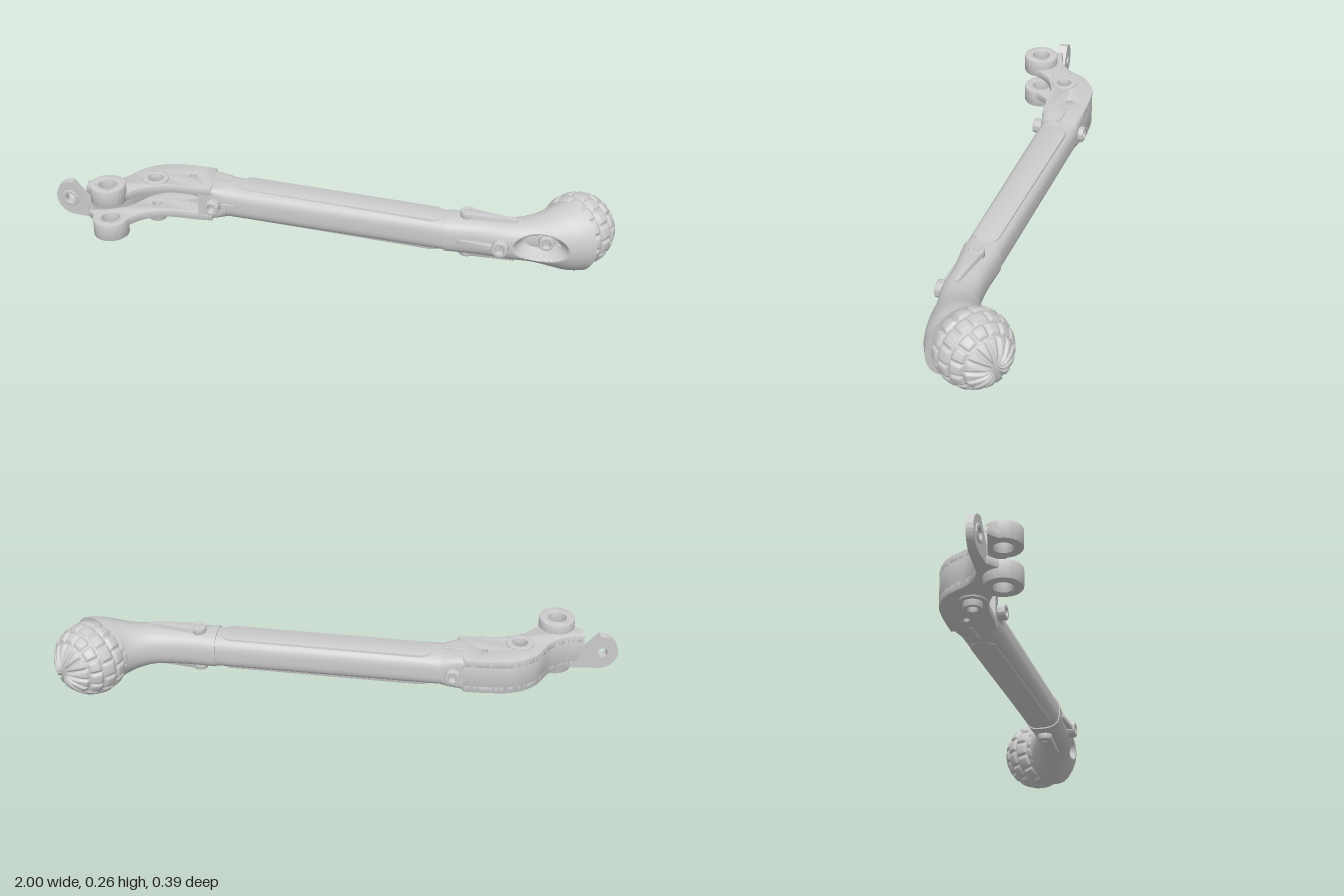
import * as THREE from 'three';
import { mergeVertices, toCreasedNormals } from 'three/addons/utils/BufferGeometryUtils.js';

const MID = 0.133; // height of the lever's centre plane

export function createModel() {
  const group = new THREE.Group();
  const mat = new THREE.MeshStandardMaterial({ color: 0xcccccc });
  const add = (name, geo) => {
    const m = new THREE.Mesh(geo, mat);
    m.name = name;
    group.add(m);
    return m;
  };

  // Upright prism from a plan shape drawn in (x, -z)
  const prism = (name, shape, y0, y1, bevel = 0.004) => {
    const geo = new THREE.ExtrudeGeometry(shape, {
      depth: y1 - y0 - 2 * bevel, curveSegments: 20, bevelSize: bevel,
      bevelThickness: bevel, bevelOffset: -bevel, bevelSegments: 2,
    });
    geo.rotateX(-Math.PI / 2).translate(0, y0 + bevel, 0);
    return add(name, toCreasedNormals(geo, 0.6));
  };

  // Plan outline: smooth runs of [x, z] points joined by sharp corners
  const outline = (runs, holes = []) => {
    const s = new THREE.Shape();
    s.moveTo(runs[0][0][0], -runs[0][0][1]);
    runs.forEach((run, i) => {
      if (i) s.lineTo(run[0][0], -run[0][1]);
      s.splineThru(run.slice(1).map(([x, z]) => new THREE.Vector2(x, -z)));
    });
    s.closePath();
    for (const [x, z, r] of holes) s.holes.push(new THREE.Path().absarc(x, -z, r, 0, Math.PI * 2, true));
    return s;
  };

  // Tapered slot-shaped prism between two round ends
  const slab = (name, ax, az, ra, bx, bz, rb, y0, y1, bevel) => {
    const a = Math.atan2(az - bz, bx - ax);
    const s = new THREE.Shape();
    s.absarc(ax, -az, ra, a + Math.PI / 2, a + Math.PI * 1.5, false);
    s.absarc(bx, -bz, rb, a - Math.PI / 2, a + Math.PI / 2, false);
    return prism(name, s, y0, y1, bevel);
  };

  // Ring with a bore, starting at pos and growing along dir
  const ring = (name, R, r, len, pos, dir) => {
    const s = new THREE.Shape().absarc(0, 0, R, 0, Math.PI * 2, false);
    s.holes.push(new THREE.Path().absarc(0, 0, r, 0, Math.PI * 2, true));
    const b = 0.004;
    const geo = new THREE.ExtrudeGeometry(s, {
      depth: len - 2 * b, curveSegments: 28, bevelSize: b, bevelThickness: b, bevelOffset: -b, bevelSegments: 2,
    });
    geo.translate(0, 0, b);
    const m = add(name, toCreasedNormals(geo, 0.6));
    m.quaternion.setFromUnitVectors(new THREE.Vector3(0, 0, 1), new THREE.Vector3(...dir).normalize());
    m.position.set(...pos);
  };

  // Loft through stations [backX, backZ, frontX, frontZ, halfHeight, squareness]
  const loft = (stations, steps, smooth, sides = 64) => {
    const n = stations.length - 1;
    const at = (t) => {
      const i = Math.min(Math.floor(t * n), n - 1), f = t * n - i;
      return stations[0].map((_, k) => {
        const p = (j) => stations[Math.max(0, Math.min(n, j))][k];
        if (!smooth) return p(i) + (p(i + 1) - p(i)) * f;
        const m0 = (p(i + 1) - p(i - 1)) / 2, m1 = (p(i + 2) - p(i)) / 2, d = p(i + 1) - p(i);
        return p(i) + f * (m0 + f * (3 * d - 2 * m0 - m1 + f * (m0 + m1 - 2 * d)));
      });
    };
    const pos = [], idx = [];
    const rows = [[0, 0], [0, 1]];
    for (let i = 0; i <= steps; i++) rows.push([i / steps, 1]);
    rows.push([1, 1], [1, 0]);
    rows.forEach(([t, scale], i) => {
      const [ux, uz, lx, lz, h, e] = at(t);
      for (let j = 0; j < sides; j++) {
        const a = (j / sides) * Math.PI * 2;
        const pw = (v) => Math.sign(v) * Math.abs(v) ** (2 / e) * scale;
        const c = pw(Math.cos(a)), s = pw(Math.sin(a));
        pos.push((ux + lx + (lx - ux) * c) / 2, h * s, (uz + lz + (lz - uz) * c) / 2);
        if (i && i !== 2 && i !== steps + 3) {
          const k = (j + 1) % sides, q = (i - 1) * sides, w = i * sides;
          idx.push(q + j, w + j, q + k, w + j, w + k, q + k);
        }
      }
    });
    const geo = new THREE.BufferGeometry();
    geo.setAttribute('position', new THREE.Float32BufferAttribute(pos, 3));
    geo.setIndex(idx);
    return geo;
  };
  const finish = (geo) => { geo.computeVertexNormals(); return geo; };

  // Straight shaft with flat panels above and below
  add('shaft', finish(loft([
    [-0.48, -0.184, -0.48, -0.024, 0.066, 8], [-0.42, -0.172, -0.43, -0.021, 0.065, 6],
    [-0.35, -0.16, -0.38, -0.02, 0.061, 3], [0.45, 0.01, 0.42, 0.136, 0.061, 3],
  ], 30, false)));
  slab('shaftPanel', -0.29, -0.082, 0.045, 0.365, 0.06, 0.045, -0.0625, 0.0625, 0.003);

  // Neck swelling towards the knob, with a scooped hollow in front
  const neck = loft([
    [0.435, 0.002, 0.405, 0.138, 0.066, 2.8], [0.55, 0.028, 0.53, 0.15, 0.067, 2.6],
    [0.64, 0.036, 0.63, 0.17, 0.07, 2.4], [0.69, 0.025, 0.72, 0.174, 0.08, 2.2],
    [0.725, 0.01, 0.8, 0.18, 0.1, 2], [0.748, -0.006, 0.87, 0.178, 0.118, 2],
    [0.763, -0.022, 0.93, 0.163, 0.128, 2],
  ], 90, true, 96);
  const np = neck.attributes.position;
  for (let i = 0; i < np.count; i++) {
    const x = np.getX(i), y = np.getY(i), z = np.getZ(i);
    const d = ((x - 0.74) / 0.095) ** 2 + (y / 0.052) ** 2;
    if (z > 0.1 && d < 1) np.setZ(i, z - 0.06 * Math.min(1, 1.6 * (1 - d)));
  }
  add('neck', finish(neck));
  ring('hollowBoss', 0.027, 0.014, 0.03, [0.76, 0, 0.108], [0, 0, 1]);
  slab('neckFin', 0.485, 0.075, 0.024, 0.65, 0.113, 0.007, -0.085, 0.085);
  for (const s of [1, -1]) ring('finBoss', 0.027, 0.012, 0.03, [0.487, s * 0.058, 0.075], [0, s, 0]);
  ring('neckFrontBoss', 0.03, 0.014, 0.05, [0.605, 0, 0.14], [-0.15, 0, 1]);
  slab('neckFrontRidge', 0.46, 0.14, 0.008, 0.59, 0.17, 0.012, -0.008, 0.008, 0.002);

  // Round knob: wedges around the pole, then staggered rows of tiles
  const N = 14, R = 0.131;
  const knob = new THREE.SphereGeometry(R, N * 14, 90);
  knob.deleteAttribute('uv');
  knob.deleteAttribute('normal');
  const kp = knob.attributes.position, v = new THREE.Vector3();
  const bands = [0, 0.85, 1.25, 1.65, 2.05, Math.PI];
  for (let i = 0; i < kp.count; i++) {
    v.fromBufferAttribute(kp, i);
    const theta = Math.acos(Math.max(-1, Math.min(1, v.y / R)));
    const phi = Math.atan2(v.z, v.x) / (Math.PI * 2) + 1;
    const row = bands.findIndex((b) => theta < b) - 1;
    const u = (((phi * N + (row % 2 ? 0.5 : 0)) % 1) + 1) % 1;
    const across = Math.min(u, 1 - u) * (Math.PI * 2 / N) * Math.sin(theta);
    const along = Math.min(...bands.slice(1, -1).map((b) => Math.abs(theta - b)));
    const edge = THREE.MathUtils.smoothstep(Math.min(across, along), 0.015, 0.075);
    kp.setXYZ(i, ...v.multiplyScalar(1 - 0.06 * (1 - edge)).toArray());
  }
  const ball = add('knob', finish(mergeVertices(knob, 1e-5)));
  ball.quaternion.setFromUnitVectors(new THREE.Vector3(0, 1, 0), new THREE.Vector3(0.72, 0, -0.69).normalize());
  ball.position.set(0.87, 0, 0.023);

  // Channel bracket: two side plates joined by a curved back wall
  const back = [[-0.43, -0.175], [-0.52, -0.19], [-0.61, -0.192], [-0.69, -0.155], [-0.75, -0.085], [-0.81, -0.053], [-0.88, -0.046]];
  const plate = outline([
    back,
    [[-0.88, -0.01], [-0.855, 0.02], [-0.835, 0.07], [-0.79, 0.088], [-0.745, 0.07], [-0.72, 0.03], [-0.67, -0.012], [-0.59, -0.034], [-0.5, -0.026], [-0.43, -0.021]],
  ], [[-0.79, 0.03, 0.035], [-0.64, -0.08, 0.025], [-0.51, -0.115, 0.011]]);
  prism('upperPlate', plate, 0.036, 0.067);
  prism('lowerPlate', plate, -0.067, -0.036);
  prism('backWall', outline([
    back,
    [[-0.88, -0.012], [-0.82, -0.017], [-0.74, -0.05], [-0.67, -0.125], [-0.6, -0.158], [-0.52, -0.145], [-0.48, -0.1], [-0.47, -0.026]],
    [[-0.43, -0.022], [-0.43, -0.1]],
  ]), -0.06, 0.06);
  for (const s of [1, -1]) {
    ring('pivotCollar', 0.064, 0.032, 0.066, [-0.79, s * 0.036, 0.03], [0, s, 0]);
    ring('pinCollar', 0.048, 0.026, 0.037, [-0.64, s * 0.036, -0.08], [0, s, 0]);
  }
  ring('pinSleeve', 0.032, 0.018, 0.06, [-0.64, -0.036, -0.08], [0, -1, 0]);
  ring('bracketFrontBoss', 0.027, 0.013, 0.05, [-0.42, 0, -0.04], [-0.2, 0, 1]);
  ring('bracketBackBoss', 0.027, 0.013, 0.05, [-0.4, 0, -0.138], [0.2, 0, -1]);
  slab('bracketRidge', -0.45, -0.108, 0.008, -0.37, -0.09, 0.005, -0.07, 0.07, 0.002);
  slab('bracketFrontRidge', -0.42, -0.027, 0.008, -0.35, -0.015, 0.006, -0.008, 0.008, 0.002);

  // Round-ended tongue that thins towards its tip
  const t = new THREE.Shape();
  t.moveTo(-0.83, 0.066);
  t.absarc(-0.934, 0, 0.066, Math.PI / 2, Math.PI * 1.5, false);
  t.lineTo(-0.83, -0.066);
  t.holes.push(new THREE.Path().absarc(-0.945, 0, 0.018, 0, Math.PI * 2, true));
  const tongue = new THREE.ExtrudeGeometry(t, { depth: 1, bevelEnabled: false, curveSegments: 28 });
  const tp = tongue.attributes.position;
  for (let i = 0; i < tp.count; i++) {
    const f = (tp.getX(i) + 1) / 0.17;
    tp.setZ(i, tp.getZ(i) > 0.5 ? -0.04 + 0.038 * f : -0.064 + 0.016 * f);
  }
  add('tongue', toCreasedNormals(tongue, 0.6));
  ring('tongueBoss', 0.032, 0.018, 0.02, [-0.945, 0, -0.044], [-0.22, 0, 1]);

  group.position.y = MID;
  const root = new THREE.Group();
  root.name = 'lever';
  root.add(group);
  return root;
}
